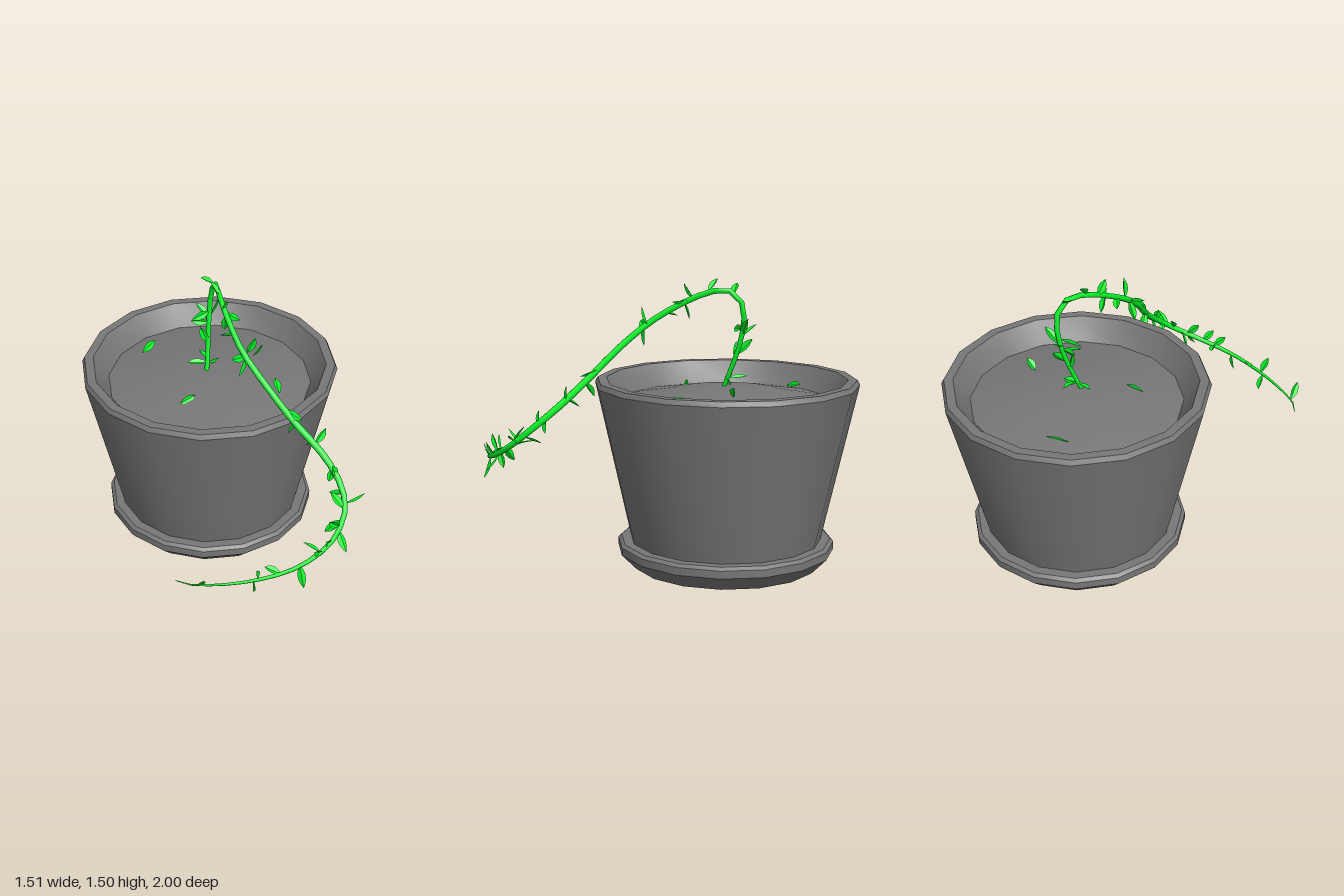
import * as THREE from 'three';
import { toCreasedNormals } from 'three/addons/utils/BufferGeometryUtils.js';

const POT_X = -0.07, POT_Z = -0.32;

const clay = new THREE.MeshStandardMaterial({ color: 0x777777 });
const green = new THREE.MeshStandardMaterial({ color: 0x08f428 });
const leafGreen = new THREE.MeshStandardMaterial({ color: 0x08f428, side: THREE.DoubleSide, flatShading: true });

// Sixteen-sided turned part, smooth around and sharp at its rims
function turned(name, profile) {
  const lathe = new THREE.LatheGeometry(profile.map(([r, y]) => new THREE.Vector2(r, y)), 16);
  const mesh = new THREE.Mesh(toCreasedNormals(lathe, 0.45), clay);
  mesh.name = name;
  mesh.position.set(POT_X, 0, POT_Z);
  return mesh;
}

// Tube whose rings are scaled to taper along the curve
function taperedTube(curve, segments, sides, radiusAt) {
  const geo = new THREE.TubeGeometry(curve, segments, 1, sides);
  const pos = geo.attributes.position;
  const p = new THREE.Vector3();
  for (let i = 0; i <= segments; i++) {
    const centre = curve.getPointAt(i / segments);
    for (let j = 0; j <= sides; j++) {
      const k = i * (sides + 1) + j;
      p.fromBufferAttribute(pos, k).sub(centre).multiplyScalar(radiusAt(i / segments)).add(centre);
      pos.setXYZ(k, p.x, p.y, p.z);
    }
  }
  return geo;
}

// Unit leaf along +y: slender pointed oval, folded along its midrib
function leafGeometry() {
  const sections = [[0, 0.04], [0.2, 0.3], [0.45, 0.5], [0.7, 0.42], [0.88, 0.2], [1, 0.01]];
  const verts = [], index = [];
  sections.forEach(([y, w], i) => {
    const bend = 0.2 * Math.sin(Math.PI * y);
    verts.push(-w, y, bend, 0, y, bend - w * 0.5, w, y, bend);
    if (i === 0) return;
    for (let j = 0; j < 2; j++) {
      const a = (i - 1) * 3 + j, b = i * 3 + j;
      index.push(a, a + 1, b + 1, a, b + 1, b);
    }
  });
  const geo = new THREE.BufferGeometry();
  geo.setAttribute('position', new THREE.Float32BufferAttribute(verts, 3));
  geo.setIndex(index);
  geo.computeVertexNormals();
  return geo;
}

export function createModel() {
  const model = new THREE.Group();

  // Saucer: flared side with a bevelled lip
  model.add(turned('saucer', [
    [0, 0], [0.49, 0], [0.568, 0.08], [0.568, 0.12], [0.55, 0.135], [0.48, 0.135],
  ]));

  // Pot: tapered wall, bevelled rim and sloping inner wall
  model.add(turned('pot', [
    [0.478, 0.03], [0.685, 0.955], [0.672, 0.98], [0.625, 0.98], [0.54, 0.855],
  ]));

  // Soil: shallow mound
  model.add(turned('soil', [[0.546, 0.865], [0.3, 0.91], [0, 0.94]]));

  // Vine: arches up, spills over the rim and curls round the front
  const curve = new THREE.CatmullRomCurve3([
    [-0.085, 0.9, -0.285], [-0.08, 0.98, -0.32], [-0.078, 1.15, -0.385], [-0.07, 1.3, -0.415],
    [-0.055, 1.39, -0.4], [-0.035, 1.44, -0.335], [-0.01, 1.425, -0.24], [0.045, 1.36, -0.1],
    [0.12, 1.27, 0.03], [0.235, 1.155, 0.135], [0.39, 1.0, 0.24], [0.54, 0.87, 0.33],
    [0.625, 0.775, 0.42], [0.658, 0.69, 0.52], [0.62, 0.62, 0.64], [0.54, 0.58, 0.74],
    [0.4, 0.548, 0.84], [0.2, 0.528, 0.91], [0, 0.52, 0.94], [-0.1, 0.517, 0.935], [-0.155, 0.515, 0.91],
  ].map((p) => new THREE.Vector3(...p)));
  const radiusAt = (t) => t < 0.55 ? 0.012 + 0.012 * t : 0.002 + 0.0166 * Math.pow((1 - t) / 0.45, 0.75);
  const vine = new THREE.Mesh(taperedTube(curve, 36, 6, radiusAt), green);
  vine.name = 'vine';
  model.add(vine);

  // Leaves: base, tip and roll about the leaf's length
  const leaves = new THREE.Group();
  leaves.name = 'leaves';
  const geo = leafGeometry();
  const up = new THREE.Vector3(0, 1, 0);
  const addLeaf = (name, base, tip, roll) => {
    const start = new THREE.Vector3(...base);
    const dir = new THREE.Vector3(...tip).sub(start);
    const length = dir.length();
    const mesh = new THREE.Mesh(geo, leafGreen);
    mesh.name = name;
    mesh.position.copy(start);
    mesh.quaternion.setFromUnitVectors(up, dir.normalize())
      .multiply(new THREE.Quaternion().setFromAxisAngle(up, roll));
    mesh.scale.set(0.041, length, 0.041);
    leaves.add(mesh);
  };

  // Leaves on the rising stem and the arch
  [
    [[-0.08, 0.97, -0.32], [-0.185, 0.985, -0.29], 1.5],
    [[-0.08, 0.97, -0.32], [-0.02, 0.97, -0.37], 1.2],
    [[-0.08, 0.98, -0.33], [-0.13, 0.99, -0.41], 0.9],
    [[-0.08, 1.07, -0.36], [-0.12, 1.17, -0.35], 0.2],
    [[-0.075, 1.18, -0.39], [-0.17, 1.2, -0.36], 0.4],
    [[-0.075, 1.2, -0.4], [-0.15, 1.26, -0.45], 0.9],
    [[-0.075, 1.21, -0.4], [-0.02, 1.3, -0.46], 1.3],
    [[-0.075, 1.24, -0.4], [-0.16, 1.23, -0.32], 1.2],
    [[-0.075, 1.11, -0.38], [-0.1, 1.19, -0.45], 1.4],
    [[-0.045, 1.425, -0.37], [-0.115, 1.47, -0.35], 1.6],
    [[-0.01, 1.43, -0.24], [-0.06, 1.495, -0.27], 1.2],
    [[0.01, 1.39, -0.17], [0.025, 1.47, -0.12], 0.9],
    [[0.02, 1.385, -0.15], [0.1, 1.38, -0.09], 1.5],
    [[0.03, 1.38, -0.12], [0.02, 1.285, -0.15], 0.3],
    [[0.08, 1.32, -0.04], [0, 1.3, -0.07], 1.5],
    [[0.145, 1.265, 0.03], [0.185, 1.36, 0.04], 0.3],
    [[0.135, 1.25, 0.05], [0.105, 1.145, 0.07], 0.2],
    [[0.13, 1.25, 0.05], [0.07, 1.27, 0.11], 1.4],
  ].forEach((l) => addLeaf('stemLeaf', ...l));

  // Leaves on the trailing part
  [
    [[0.34, 1.05, 0.2], [0.43, 1.02, 0.26], 1.5],
    [[0.4, 0.99, 0.25], [0.36, 0.91, 0.22], 0.4],
    [[0.5, 0.91, 0.3], [0.455, 0.87, 0.25], 0.8],
    [[0.5, 0.91, 0.3], [0.55, 0.99, 0.27], 0.3],
    [[0.59, 0.82, 0.37], [0.575, 0.74, 0.38], 1.1],
    [[0.61, 0.79, 0.4], [0.585, 0.86, 0.41], 0.9],
    [[0.645, 0.73, 0.47], [0.58, 0.69, 0.4], 0.6],
    [[0.655, 0.7, 0.5], [0.755, 0.755, 0.48], 1.3],
    [[0.65, 0.69, 0.53], [0.58, 0.77, 0.5], 0.7],
    [[0.64, 0.66, 0.58], [0.56, 0.58, 0.58], 0.6],
    [[0.63, 0.64, 0.61], [0.575, 0.71, 0.66], 0.4],
    [[0.625, 0.63, 0.62], [0.67, 0.535, 0.68], 0.8],
    [[0.58, 0.6, 0.69], [0.565, 0.66, 0.75], 0.8],
    [[0.54, 0.58, 0.74], [0.51, 0.635, 0.8], 0.6],
    [[0.54, 0.58, 0.74], [0.455, 0.6, 0.69], 1.5],
    [[0.44, 0.555, 0.81], [0.465, 0.435, 0.84], 1.3],
    [[0.35, 0.545, 0.865], [0.27, 0.565, 0.84], 1.0],
    [[0.24, 0.53, 0.9], [0.235, 0.625, 0.94], 1.3],
    [[0.22, 0.53, 0.9], [0.22, 0.435, 0.88], 1.4],
    [[-0.05, 0.52, 0.94], [-0.01, 0.6, 0.998], 0.5],
  ].forEach((l) => addLeaf('trailingLeaf', ...l));

  // Fallen leaves on the soil
  [
    [[-0.45, 0.9, -0.5], [-0.39, 0.92, -0.6], 0.2],
    [[0.16, 0.93, -0.46], [0.21, 0.987, -0.49], 1.2],
    [[0.31, 0.9, -0.15], [0.285, 0.93, -0.25], 0.4],
    [[-0.2, 0.91, -0.01], [-0.13, 0.925, -0.07], 0.2],
  ].forEach((l) => addLeaf('fallenLeaf', ...l));

  model.add(leaves);
  return model;
}
